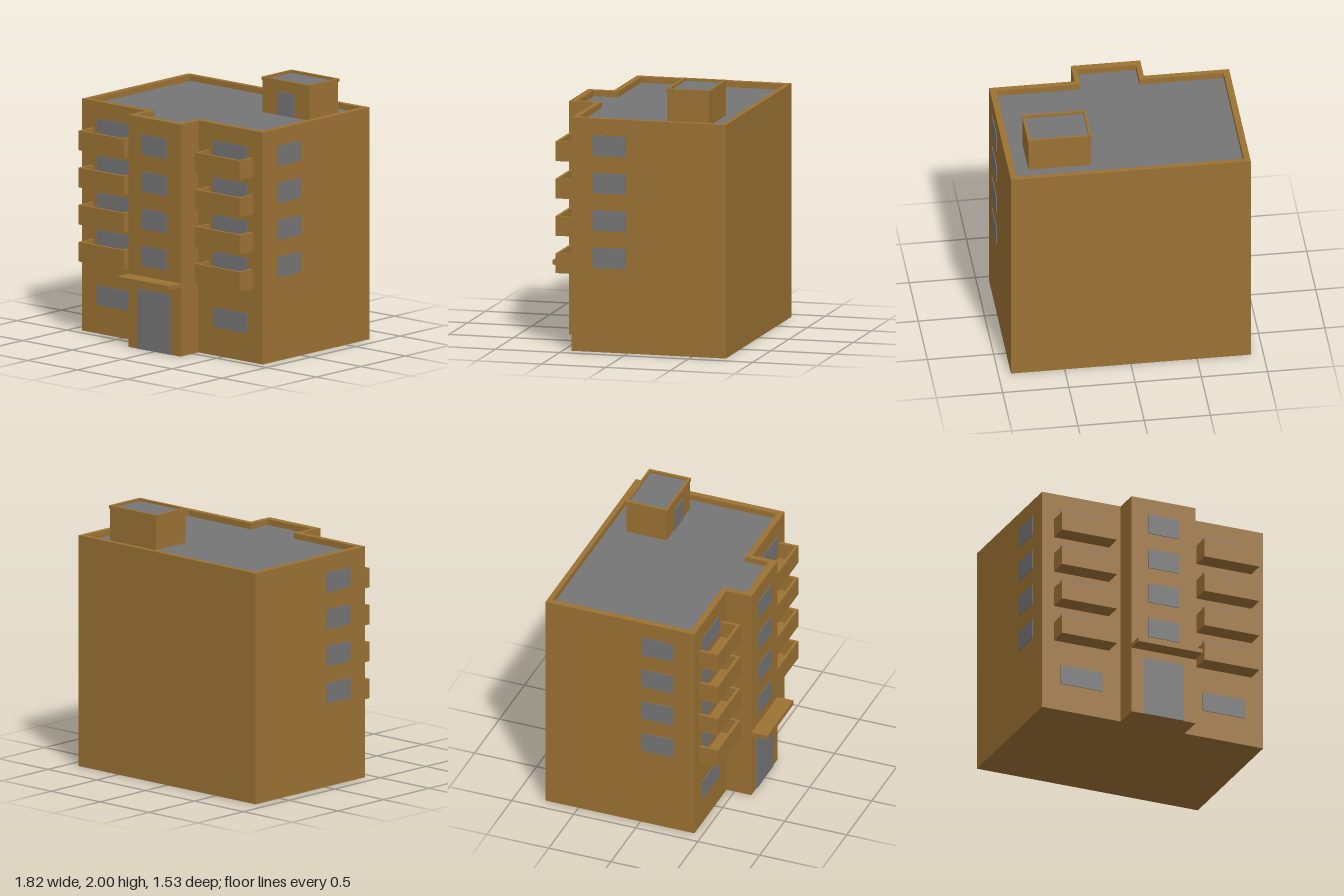
import * as THREE from 'three';

const wall = new THREE.MeshStandardMaterial({ color: 0x9c7234 });
wall.name = 'ochre wall';
const grey = new THREE.MeshStandardMaterial({ color: 0x757575 });
grey.name = 'grey glass and roofing';

export function createModel() {
  const model = new THREE.Group();
  model.name = 'apartmentBlock';

  const add = (parent, name, geometry, material) => {
    const mesh = new THREE.Mesh(geometry, material);
    mesh.name = name;
    parent.add(mesh);
    return mesh;
  };

  // Box given by its limits on each axis
  const box = (parent, name, [x0, x1], [y0, y1], [z0, z1], material = wall) => {
    const mesh = add(parent, name, new THREE.BoxGeometry(x1 - x0, y1 - y0, z1 - z0), material);
    mesh.position.set((x0 + x1) / 2, (y0 + y1) / 2, (z0 + z1) / 2);
    return mesh;
  };

  // Floor plan points are [x, z]; plans are raised from y0 to y1
  const toPoints = (plan) => plan.map(([x, z]) => new THREE.Vector2(x, -z));
  const prism = (parent, name, plan, y0, y1, material = wall, hole = null) => {
    const shape = new THREE.Shape(toPoints(plan));
    if (hole) shape.holes.push(new THREE.Path(toPoints(hole)));
    const geometry = new THREE.ExtrudeGeometry(shape, { depth: y1 - y0, bevelEnabled: false });
    geometry.rotateX(-Math.PI / 2).translate(0, y0, 0);
    return add(parent, name, geometry, material);
  };
  const rect = (x0, x1, z0, z1) => [[x0, z1], [x1, z1], [x1, z0], [x0, z0]];

  // T-shaped plan: wide block with a projecting stair bay at the front
  const plan = (halfW, back, front, bayHalf, bayFront) => [
    [-halfW, back], [-halfW, front], [-bayHalf, front], [-bayHalf, bayFront],
    [bayHalf, bayFront], [bayHalf, front], [halfW, front], [halfW, back],
  ];
  const outer = plan(0.905, -0.765, 0.435, 0.262, 0.635);
  const inner = plan(0.858, -0.727, 0.39, 0.222, 0.58);

  // Main walls, parapet and sunken flat roof
  prism(model, 'body', outer, 0, 1.725);
  prism(model, 'parapet', outer, 1.725, 1.775, wall, inner);
  prism(model, 'roof', inner, 1.725, 1.73, grey);

  // Entrance door and canopy
  box(model, 'entranceDoor', [-0.165, 0.165], [0, 0.46], [0.633, 0.641], grey);
  box(model, 'canopy', [-0.262, 0.262], [0.525, 0.56], [0.63, 0.765]);

  // Upper floors
  for (let floor = 0; floor < 4; floor++) {
    const sill = 0.64 + floor * 0.284;
    const rise = [sill, sill + 0.155];
    box(model, 'bayWindow', [-0.128, 0.126], rise, [0.633, 0.641], grey);

    for (const side of [-1, 1]) {
      const span = (a, b) => (side > 0 ? [a, b] : [-b, -a]);
      box(model, 'sideWindow', span(0.903, 0.911), rise, [0.012, 0.268], grey);
      box(model, 'balconyWindow', span(0.41, 0.753), rise, [0.433, 0.441], grey);

      // Balcony: floor, front wall and two end walls
      const balcony = new THREE.Group();
      balcony.name = 'balcony';
      model.add(balcony);
      const y = 0.566 + floor * 0.284;
      const tall = [y, y + 0.15];
      box(balcony, 'balconyFloor', span(0.38, 0.785), [y, y + 0.02], [0.435, 0.562]);
      box(balcony, 'balconyFront', span(0.358, 0.808), tall, [0.562, 0.585]);
      box(balcony, 'balconyInnerEnd', span(0.358, 0.38), tall, [0.435, 0.562]);
      box(balcony, 'balconyOuterEnd', span(0.785, 0.808), tall, [0.435, 0.562]);
    }
  }

  // Ground floor windows
  for (const x of [-0.582, 0.582]) {
    box(model, 'groundWindow', [x - 0.172, x + 0.172], [0.218, 0.37], [0.433, 0.441], grey);
  }

  // Rooftop stair house with a rimmed roof and door
  const house = new THREE.Group();
  house.name = 'stairHouse';
  model.add(house);
  const rim = rect(0.272, 0.754, -0.596, -0.258);
  const well = rect(0.293, 0.733, -0.577, -0.278);
  box(house, 'stairHouseWalls', [0.278, 0.748], [1.725, 1.977], [-0.588, -0.265]);
  prism(house, 'stairHouseRim', rim, 1.977, 2, wall, well);
  prism(house, 'stairHouseRoof', well, 1.975, 1.981, grey);
  box(house, 'stairHouseDoor', [0.433, 0.597], [1.73, 1.91], [-0.266, -0.258], grey);

  return model;
}
